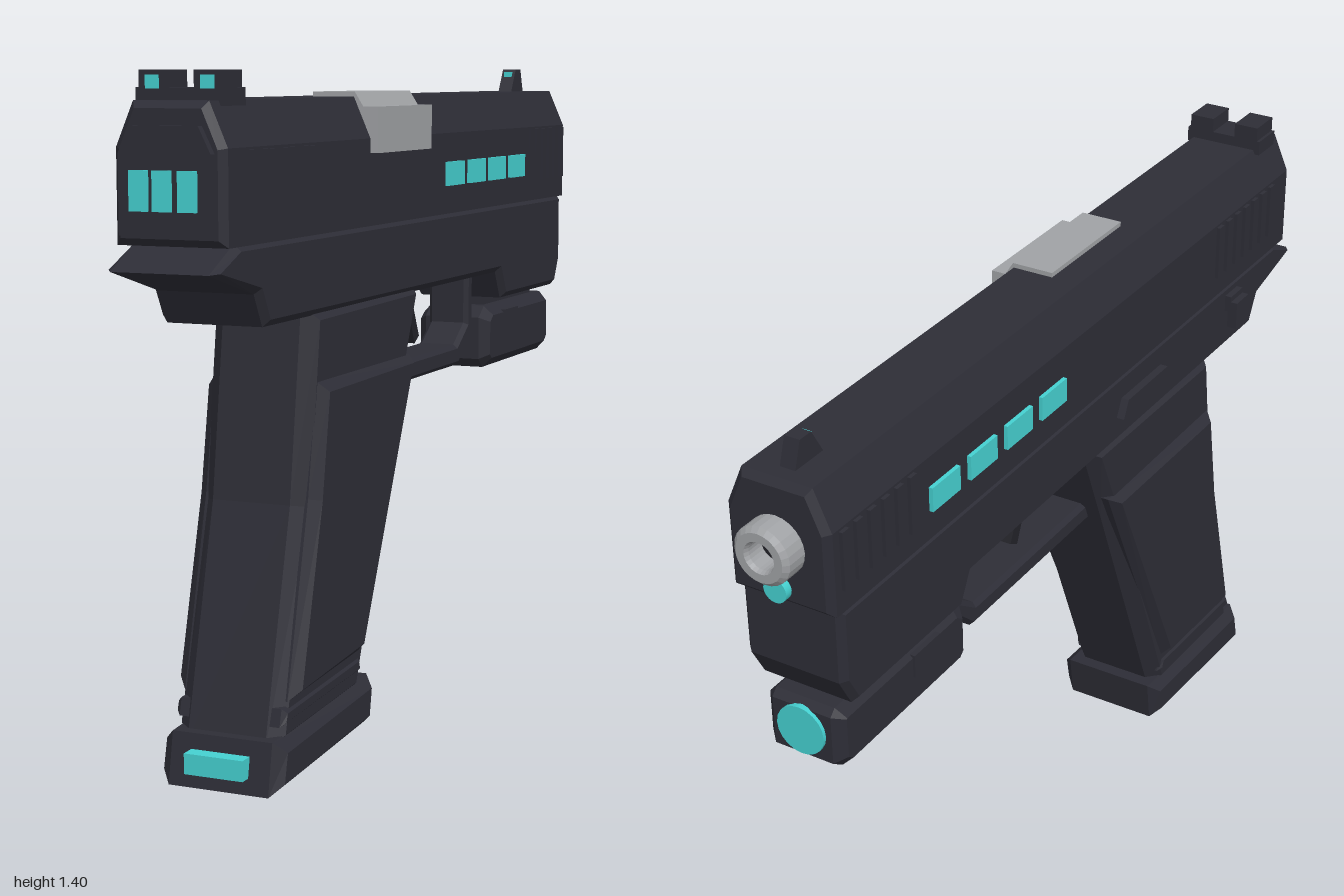
import * as THREE from 'three';

const CX = 0.005; // centre line of the body

export function createModel() {
  const root = new THREE.Group();
  const mat = (name, color) => {
    const m = new THREE.MeshStandardMaterial({ color });
    m.name = name;
    return m;
  };
  const dark = mat('charcoal', 0x2d2d36);
  const black = mat('black', 0x222228);
  const cyan = mat('glowCyan', 0x45d0d0);
  const steel = mat('steel', 0xa0a2a5);

  const add = (name, geo, material) => {
    const m = new THREE.Mesh(geo, material);
    m.name = name;
    root.add(m);
    return m;
  };
  // Box given by its limits on each axis
  const box = (name, material, [x0, x1], [y0, y1], [z0, z1]) => {
    const g = new THREE.BoxGeometry(x1 - x0, y1 - y0, z1 - z0);
    g.translate((x0 + x1) / 2, (y0 + y1) / 2, (z0 + z1) / 2);
    return add(name, g, material);
  };
  const extrude = (shape, depth, bevel) => {
    const g = new THREE.ExtrudeGeometry(shape, {
      depth: depth - 2 * bevel, bevelEnabled: bevel > 0, bevelSize: bevel,
      bevelThickness: bevel, bevelOffset: -bevel, bevelSegments: 1,
    });
    return g.translate(0, 0, bevel);
  };
  // Side profile of [z, y] points extruded from x0 to x1
  const side = (name, material, pts, x0, x1, bevel = 0) => {
    const shape = new THREE.Shape(pts.map(([z, y]) => new THREE.Vector2(-z, y)));
    const g = extrude(shape, x1 - x0, bevel).rotateY(Math.PI / 2).translate(x0, 0, 0);
    return add(name, g, material);
  };
  // Cross-section of [x, y] points extruded from z0 to z1
  const section = (name, material, pts, z0, z1, bevel = 0) => {
    const shape = new THREE.Shape(pts.map(([x, y]) => new THREE.Vector2(x, y)));
    return add(name, extrude(shape, z1 - z0, bevel).translate(0, 0, z0), material);
  };
  // Disc or cylinder along z
  const disc = (name, material, r, y, z0, z1) => {
    const g = new THREE.CylinderGeometry(r, r, z1 - z0, 20).rotateX(Math.PI / 2);
    return add(name, g.translate(CX, y, (z0 + z1) / 2), material);
  };

  // Slide with sloped shoulders, and its back plate
  const mirror = half => [...half.map(([x, y]) => [CX + x, y]),
    ...half.slice().reverse().map(([x, y]) => [CX - x, y])];
  section('slide', dark, mirror([[0.115, 1.08], [0.115, 1.26], [0.078, 1.345]]), -0.945, 0.96, 0.014);
  section('backPlate', dark, mirror([[0.095, 1.1], [0.095, 1.25], [0.07, 1.3]]), 0.95, 0.976);
  for (const x of [-0.048, 0.0, 0.052])
    box('backLight', cyan, [x - 0.017, x + 0.021], [1.145, 1.22], [0.974, 0.983]);

  // Serrations and light slits on both sides
  for (const s of [-1, 1]) {
    const sx = (a, b) => [CX + s * a, CX + s * b].sort((p, q) => p - q);
    for (let i = 0; i < 7; i++) {
      const z = 0.865 - i * 0.044;
      box('rearSerration', dark, sx(0.11, 0.123), [1.13, 1.255], [z - 0.022, z]);
    }
    for (let i = 0; i < 6; i++) {
      const z = -0.67 - i * 0.044;
      box('frontSerration', dark, sx(0.11, 0.123), [1.13, 1.255], [z - 0.022, z]);
    }
    for (let i = 0; i < 4; i++) {
      const z = -0.115 - i * 0.136;
      box('sideLight', cyan, sx(0.114, 0.124), [1.143, 1.196], [z - 0.098, z]);
    }
  }

  // Ejection port cover wrapping over the shoulder
  section('ejectionPort', steel, [[-0.01, 1.355], [0.085, 1.355], [0.104, 1.325], [0.137, 1.325],
    [0.137, 1.23], [0.1, 1.23], [0.09, 1.3], [0.07, 1.335], [-0.01, 1.335]], 0.01, 0.305);

  // Hollow barrel and guide rod tip
  const profile = [[0.03, 0], [0.062, 0], [0.062, 0.09], [0.052, 0.1], [0.034, 0.1], [0.03, 0.09], [0.03, 0]];
  const ring = new THREE.LatheGeometry(profile.map(p => new THREE.Vector2(...p)), 24).toNonIndexed();
  ring.computeVertexNormals();
  ring.rotateX(-Math.PI / 2).translate(CX, 1.21, -0.9);
  add('barrel', ring, steel);
  disc('bore', black, 0.032, 1.21, -0.952, -0.93);
  disc('guideRod', cyan, 0.026, 1.118, -0.962, -0.93);

  // Sights
  box('rearSightBase', dark, [-0.088, 0.098], [1.335, 1.368], [0.83, 0.91]);
  for (const x of [CX - 0.057, CX + 0.057]) {
    box('rearSightPost', dark, [x - 0.029, x + 0.029], [1.36, 1.4], [0.83, 0.91]);
    box('rearSightDot', cyan, [x - 0.013, x + 0.013], [1.366, 1.391], [0.908, 0.916]);
  }
  side('frontSight', dark, [[-0.81, 1.34], [-0.845, 1.4], [-0.88, 1.4], [-0.9, 1.34]], -0.012, 0.022);
  box('frontSightDot', cyan, [-0.005, 0.015], [1.375, 1.393], [-0.85, -0.834]);

  // Frame with rear tang and dust cover
  side('frame', dark, [[1, 1.035], [0.9, 1.085], [-0.92, 1.085], [-0.92, 0.92], [-0.885, 0.855],
    [-0.51, 0.855], [-0.475, 0.92], [0.785, 0.92], [0.82, 0.985]], -0.11, 0.12, 0.014);

  // Grip, side panels and magazine base
  side('grip', dark, [[0.58, 0.94], [0.02, 0.94], [0.11, 0.72], [0.36, 0.1], [0.755, 0.085], [0.635, 0.55]],
    -0.11, 0.12, 0.03);
  side('gripPanels', dark, [[0.57, 0.79], [0.09, 0.79], [0.37, 0.195], [0.71, 0.175], [0.61, 0.56]],
    -0.13, 0.14, 0.022);
  side('gripBand', dark, [[0.73, 0.165], [0.37, 0.185], [0.36, 0.15], [0.74, 0.13]], -0.115, 0.125, 0.01);
  side('magazineBase', dark, [[0.79, 0.003], [0.33, 0.03], [0.315, 0.132], [0.77, 0.108]], -0.128, 0.138, 0.024);
  box('magazineLight', cyan, [-0.06, 0.068], [0.035, 0.077], [0.77, 0.808]);

  // Trigger guard and trigger
  side('triggerGuard', dark, [[0.13, 0.755], [-0.36, 0.755], [-0.425, 0.8], [-0.425, 0.93], [-0.465, 0.93],
    [-0.465, 0.785], [-0.375, 0.705], [0.13, 0.705]], -0.045, 0.055, 0.01);
  side('trigger', black, [[-0.135, 0.93], [-0.12, 0.86], [-0.155, 0.78], [-0.182, 0.795],
    [-0.15, 0.86], [-0.165, 0.93]], -0.02, 0.03);

  // Left-hand controls
  side('slideStop', dark, [[0.32, 0.985], [0.32, 1.025], [0.14, 1.025], [0.12, 0.985]], -0.128, -0.1);
  box('leverArm', dark, [-0.125, -0.1], [1.02, 1.058], [0.64, 0.7]);
  box('leverTab', dark, [-0.141, -0.118], [0.98, 1.045], [0.64, 0.7]);

  // Under-barrel light
  side('lampBody', dark, [[-0.455, 0.71], [-0.455, 0.81], [-0.49, 0.835], [-0.895, 0.835], [-0.91, 0.82],
    [-0.91, 0.71], [-0.88, 0.688], [-0.48, 0.688]], -0.085, 0.095, 0.022);
  box('lampRail', dark, [-0.05, 0.06], [0.82, 0.87], [-0.86, -0.52]);
  box('lampSwitch', dark, [-0.09, 0.1], [0.768, 0.82], [-0.66, -0.568]);
  disc('lampLens', cyan, 0.055, 0.77, -0.918, -0.9);

  return root;
}
